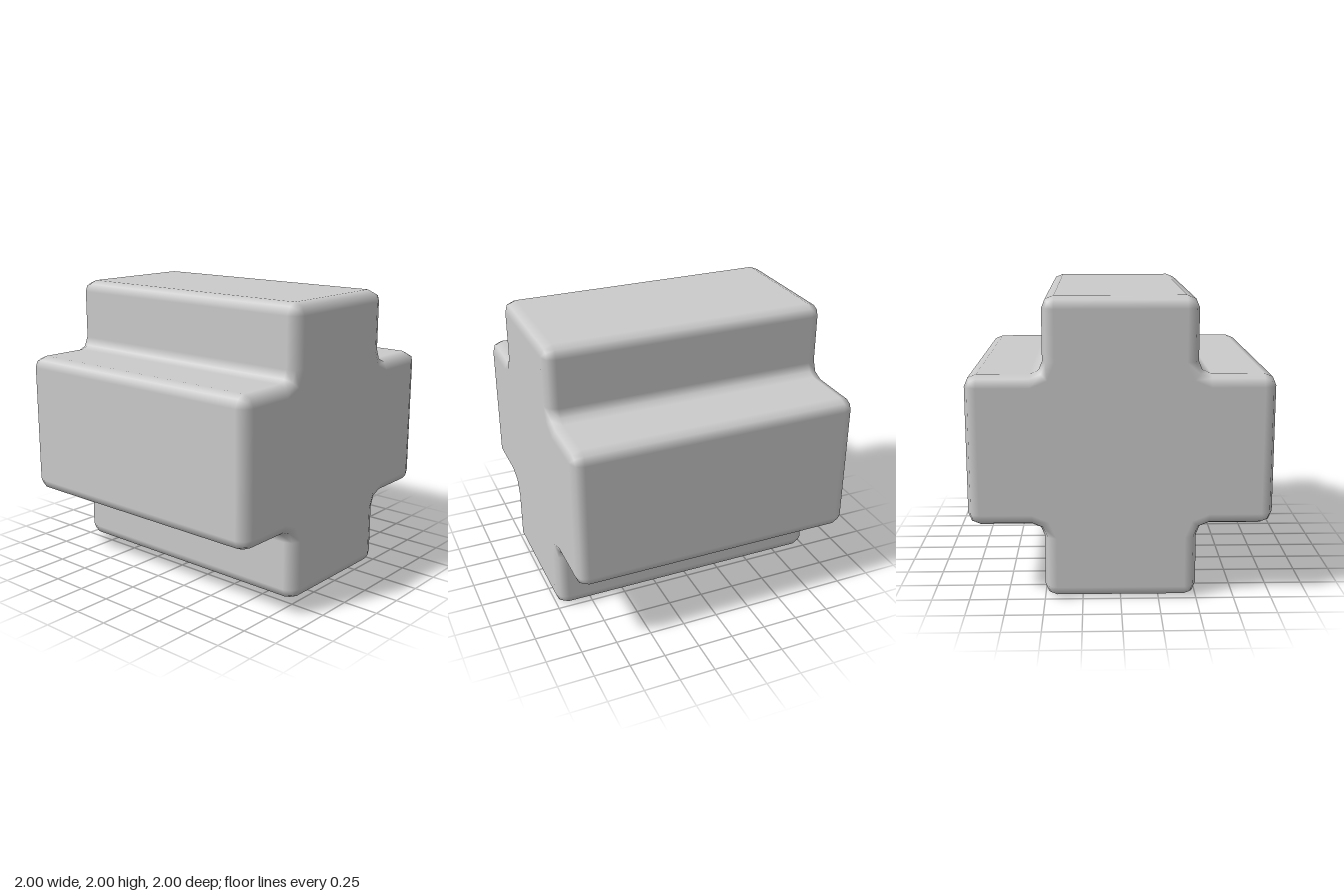
import * as THREE from 'three';

const R = 0.08;      // bevel and fillet radius
const SEGMENTS = 2;  // steps per rounded edge

// Plus-shaped outline, counter-clockwise, as points with outward normals.
function plusOutline() {
  const corners = [
    { x: 0.92, y: 0.42, sign: 1 },   // arm tip
    { x: 0.58, y: 0.58, sign: -1 },  // inner corner
    { x: 0.42, y: 0.92, sign: 1 },   // next arm tip
  ];
  const outline = [];
  for (let q = 0; q < 4; q++) {
    for (const { x, y, sign } of corners) {
      for (let s = 0; s <= SEGMENTS; s++) {
        const t = s / SEGMENTS;
        const a = (sign > 0 ? t : 1 - t) * Math.PI / 2;
        const n = new THREE.Vector2(Math.cos(a), Math.sin(a));
        const p = new THREE.Vector2(x, y).addScaledVector(n, sign * R);
        const origin = new THREE.Vector2();
        outline.push({
          p: p.rotateAround(origin, q * Math.PI / 2),
          n: n.rotateAround(origin, q * Math.PI / 2),
        });
      }
    }
  }
  return outline;
}

// Sweep the outline from back to front, insetting it to round the end edges.
function roundedPrism(outline) {
  const rings = [];
  for (const end of [-1, 1]) {
    for (let s = 0; s <= SEGMENTS; s++) {
      const t = s / SEGMENTS;
      const a = (end < 0 ? t - 1 : t) * Math.PI / 2;
      rings.push({ z: end * (1 - R) + R * Math.sin(a), a });
    }
  }
  const positions = [], normals = [], indices = [];
  const count = outline.length;
  rings.forEach(({ z, a }, j) => {
    const inset = R * (1 - Math.cos(a));
    outline.forEach(({ p, n }, i) => {
      positions.push(p.x - n.x * inset, p.y - n.y * inset, z);
      normals.push(n.x * Math.cos(a), n.y * Math.cos(a), Math.sin(a));
      if (j === 0) return;
      const next = (i + 1) % count;
      const low = (j - 1) * count, high = j * count;
      indices.push(low + i, low + next, high + next, low + i, high + next, high + i);
    });
  });

  // Flat back and front faces share the end rings.
  const last = (rings.length - 1) * count;
  const face = outline.map(({ p, n }) => p.clone().addScaledVector(n, -R));
  for (const [a, b, c] of THREE.ShapeUtils.triangulateShape(face, [])) {
    indices.push(last + a, last + b, last + c, a, c, b);
  }

  const geometry = new THREE.BufferGeometry();
  geometry.setAttribute('position', new THREE.Float32BufferAttribute(positions, 3));
  geometry.setAttribute('normal', new THREE.Float32BufferAttribute(normals, 3));
  geometry.setIndex(indices);
  return geometry;
}

export function createModel() {
  const group = new THREE.Group();
  const block = new THREE.Mesh(
    roundedPrism(plusOutline()),
    new THREE.MeshStandardMaterial({ color: 0xcccccc }),
  );
  block.name = 'plusBlock';
  block.position.y = 1;
  group.add(block);
  return group;
}
